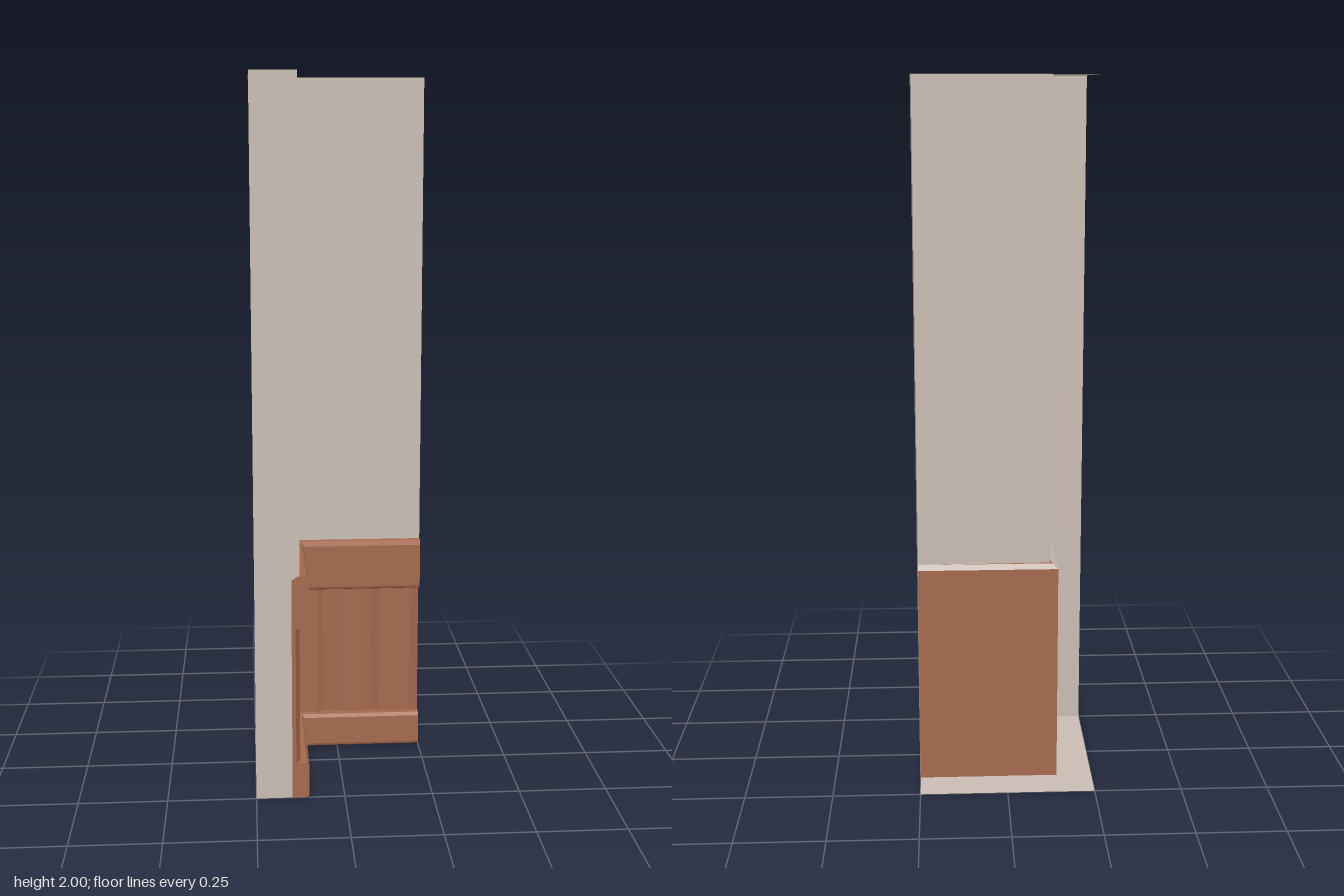
import * as THREE from 'three';

const END = 0.25;   // open end of each arm
const BACK = -0.148; // rear plane of the panelling

// Sweeps a profile of [offset, height] points round the mitred L, and caps both ends.
function sweepL(profile, closed) {
  const pos = [];
  const tri = (a, b, c) => pos.push(...a, ...b, ...c);
  const path = ([d, y]) => [[d, y, END], [d, y, d], [END, y, d]];
  const count = closed ? profile.length : profile.length - 1;
  for (let i = 0; i < count; i++) {
    const a = path(profile[i]);
    const b = path(profile[(i + 1) % profile.length]);
    for (let s = 0; s < 2; s++) {
      tri(a[s], a[s + 1], b[s + 1]);
      tri(a[s], b[s + 1], b[s]);
    }
  }
  const flat = profile.map(([d, y]) => new THREE.Vector2(d, y));
  for (const f of THREE.ShapeUtils.triangulateShape(flat, [])) {
    const [p, q, r] = f.map((i) => profile[i]);
    tri([p[0], p[1], END], [q[0], q[1], END], [r[0], r[1], END]);
    tri([END, p[1], p[0]], [END, r[1], r[0]], [END, q[1], q[0]]);
  }
  const geometry = new THREE.BufferGeometry();
  geometry.setAttribute('position', new THREE.Float32BufferAttribute(pos, 3));
  geometry.computeVertexNormals();
  return geometry;
}

// Board faces along one arm: [distance along arm, offset]
function boardFace() {
  const points = [[-0.125, -0.125], [-0.06, -0.125], [-0.04, -0.138], [-0.012, -0.138]];
  for (let i = 0; i <= 8; i++) {
    const u = i / 8;
    points.push([-0.01 + 0.12 * u, -0.135 + 0.009 * Math.sin(Math.PI * u)]);
  }
  points.push([0.112, -0.138], [0.13, -0.125], [0.225, -0.125], [END, -0.137]);
  return points;
}

export function createModel() {
  const group = new THREE.Group();
  const plaster = new THREE.MeshStandardMaterial({ color: 0xcabdb4, side: THREE.DoubleSide });
  plaster.name = 'plaster';
  const wood = new THREE.MeshStandardMaterial({ color: 0xa5694f, side: THREE.DoubleSide });
  wood.name = 'wood';
  const add = (name, geometry, material) => {
    const mesh = new THREE.Mesh(geometry, material);
    mesh.name = name;
    group.add(mesh);
    return mesh;
  };

  // Wall shell, open at the outer back and recessed behind the panelling
  add('wall', sweepL([
    [-0.25, 2], [-0.125, 2], [-0.125, 0.65], [-0.132, 0.65], [BACK, 0.638],
    [BACK, 0.637], [BACK, 0], [-0.25, 0],
  ].filter((p) => p[1] !== 0.637 && p[1] !== 0), false), plaster);
  add('wallFloor', sweepL([[BACK, 0], [-0.25, 0]], false), plaster);

  // Lower part of the wall ends
  const width = BACK + 0.25;
  const wallEnd = new THREE.PlaneGeometry(width, 0.638);
  const leftEnd = add('wallEndFront', wallEnd, plaster);
  leftEnd.position.set(-0.25 + width / 2, 0.319, END);
  const rightEnd = add('wallEndSide', wallEnd, plaster);
  rightEnd.rotation.y = Math.PI / 2;
  rightEnd.position.set(END, 0.319, -0.25 + width / 2);
  // Sliver between the sloping ledge and the wall's outer edge
  const sliver = new THREE.Shape([
    new THREE.Vector2(-0.25, 0.638), new THREE.Vector2(BACK, 0.638), new THREE.Vector2(-0.25, 2),
  ]);
  const sliverGeometry = new THREE.ShapeGeometry(sliver);
  add('wallEndFrontUpper', sliverGeometry, plaster).position.z = END;
  const side = add('wallEndSideUpper', sliverGeometry, plaster);
  side.rotation.y = -Math.PI / 2;
  side.position.x = END;

  // Top rail and skirting with eased edges
  add('topRail', sweepL([
    [BACK, 0.5], [-0.108, 0.5], [-0.102, 0.504], [-0.1, 0.51], [-0.1, 0.636],
    [-0.103, 0.645], [-0.11, 0.65], [-0.132, 0.65], [BACK, 0.638],
  ], true), wood);
  add('skirting', sweepL([
    [BACK, 0], [-0.108, 0], [-0.102, 0.004], [-0.1, 0.01], [-0.1, 0.093],
    [-0.108, 0.102], [BACK, 0.102],
  ], true), wood);

  // Vertical boards on both arms, drawn as one plan outline
  const face = boardFace();
  const outline = [
    [END, BACK], ...face.slice().reverse(),
    ...face.slice(1).map(([t, d]) => [d, t]), [BACK, END], [BACK, BACK],
  ].map(([x, z]) => new THREE.Vector2(x, -z));
  const boards = new THREE.ExtrudeGeometry(new THREE.Shape(outline), { depth: 0.398, bevelEnabled: false });
  boards.rotateX(-Math.PI / 2);
  add('boardPanels', boards, wood).position.y = 0.102;

  return group;
}
